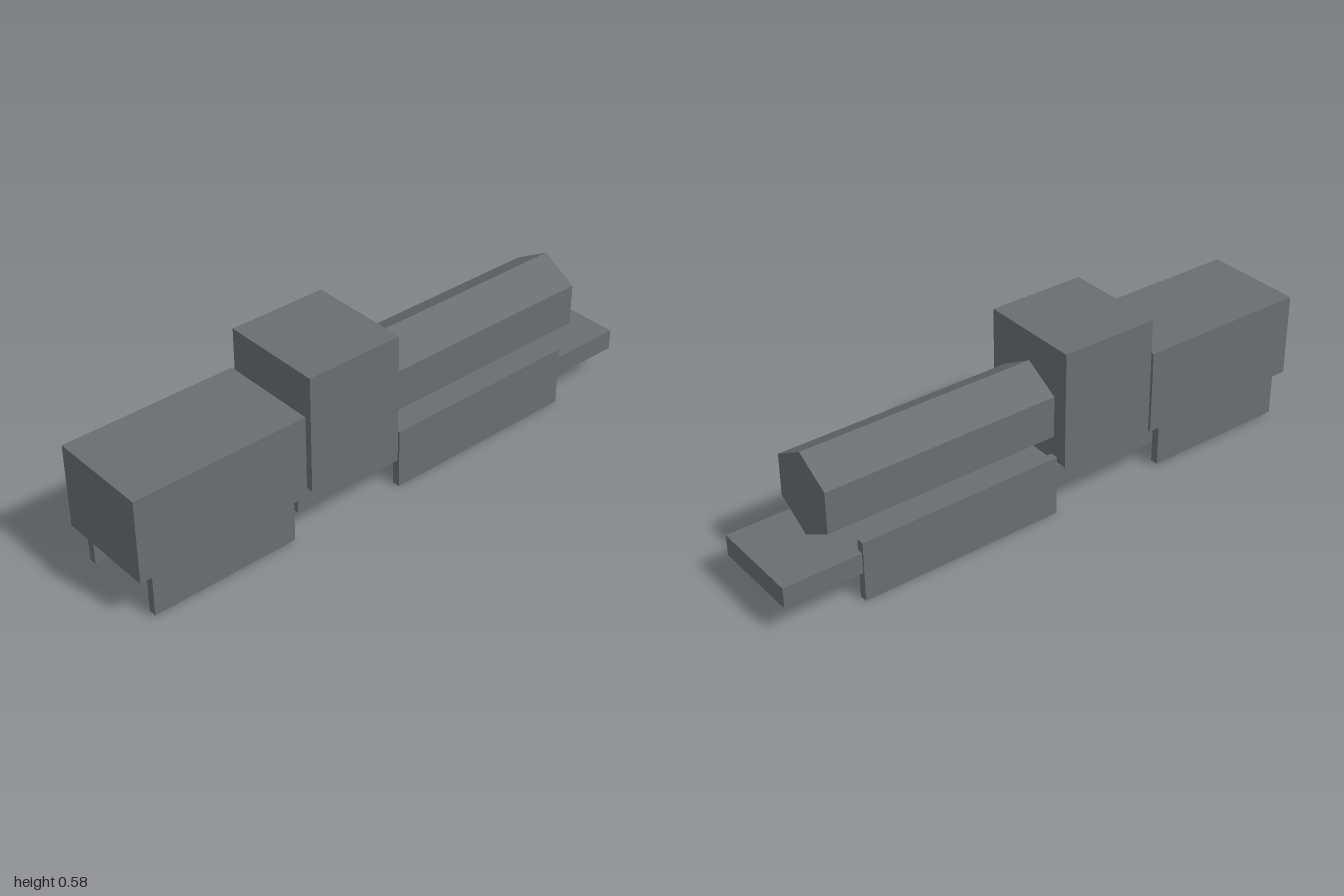
import * as THREE from 'three';

export function createModel() {
  const group = new THREE.Group();
  const steel = new THREE.MeshStandardMaterial({ color: 0x6a6e70 });
  steel.name = 'steelGrey';
  steel.flatShading = true;

  // Box given by its lower and upper limits on each axis
  const block = (name, [x0, x1], [y0, y1], [z0, z1]) => {
    const mesh = new THREE.Mesh(new THREE.BoxGeometry(x1 - x0, y1 - y0, z1 - z0), steel);
    mesh.position.set((x0 + x1) / 2, (y0 + y1) / 2, (z0 + z1) / 2);
    mesh.name = name;
    group.add(mesh);
  };

  // Main bodies along the length
  block('tender', [-1, -0.385], [0.16, 0.453], [-0.177, 0.177]);
  block('cab', [-0.37, -0.02], [0.173, 0.585], [-0.183, 0.183]);
  block('chassis', [-0.41, 1], [0.1, 0.173], [-0.162, 0.162]);

  // Wheel plates on both sides
  for (const side of [1, -1]) {
    const z = side > 0 ? [0.141, 0.169] : [-0.169, -0.141];
    const label = side > 0 ? 'Front' : 'Back';
    block('engineWheelPlate' + label, [0, 0.73], [0, 0.213], z);
    block('tenderWheelPlate' + label, [-0.955, -0.43], [0.01, 0.16], z);
  }

  // Six-sided boiler with an edge on top, lying along x
  const boilerShape = new THREE.CylinderGeometry(0.147, 0.147, 0.84, 6, 1, false, Math.PI / 2);
  boilerShape.rotateZ(-Math.PI / 2);
  const boiler = new THREE.Mesh(boilerShape, steel);
  boiler.position.set(0.4, 0.335, 0);
  boiler.name = 'boiler';
  group.add(boiler);

  return group;
}
